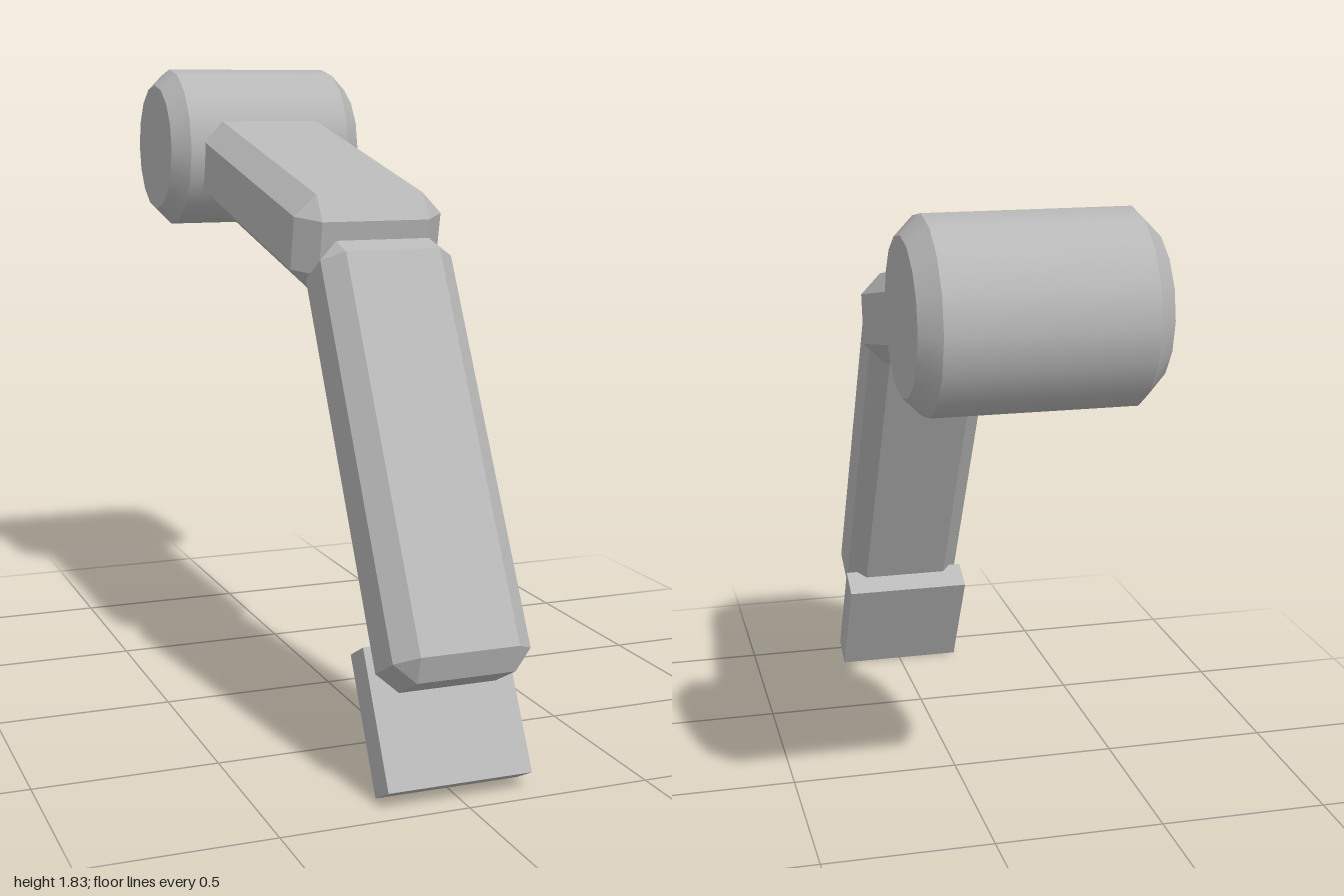
import * as THREE from 'three';
import { mergeGeometries } from 'three/addons/utils/BufferGeometryUtils.js';
import { ConvexGeometry } from 'three/addons/geometries/ConvexGeometry.js';

// Box with every edge cut by a flat bevel
function bevelBox(w, h, d, b) {
  const pts = [];
  for (const sx of [-1, 1]) for (const sy of [-1, 1]) for (const sz of [-1, 1]) {
    const x = w / 2, y = h / 2, z = d / 2;
    pts.push(
      new THREE.Vector3(sx * x, sy * (y - b), sz * (z - b)),
      new THREE.Vector3(sx * (x - b), sy * y, sz * (z - b)),
      new THREE.Vector3(sx * (x - b), sy * (y - b), sz * z),
    );
  }
  return new ConvexGeometry(pts);
}

// Drum lying along x: each profile band is its own lathe, so the rims stay sharp
function drumGeometry(radius, halfWidth, bevel) {
  const profile = [
    [0, -halfWidth], [radius - bevel, -halfWidth], [radius, bevel - halfWidth],
    [radius, halfWidth - bevel], [radius - bevel, halfWidth], [0, halfWidth],
  ].map(([r, y]) => new THREE.Vector2(r, y));
  const bands = [];
  for (let i = 0; i < profile.length - 1; i++) {
    bands.push(new THREE.LatheGeometry([profile[i], profile[i + 1]], 16));
  }
  return mergeGeometries(bands).rotateZ(-Math.PI / 2);
}

export function createModel() {
  const group = new THREE.Group();
  const grey = new THREE.MeshStandardMaterial({ color: 0xb8b8b8 });
  grey.name = 'light grey';

  const add = (name, geometry, y, z, tilt = 0) => {
    const mesh = new THREE.Mesh(geometry, grey);
    mesh.name = name;
    mesh.position.set(0, y, z);
    mesh.rotation.x = tilt;
    group.add(mesh);
  };

  // Shoulder drum, and the upper arm running forward from its centre
  add('shoulderDrum', drumGeometry(0.246, 0.31, 0.05), 1.588, -0.754);
  add('upperArm', bevelBox(0.43, 0.268, 1.13, 0.06), 1.466, -0.2, 0.211);

  // Lower arm and the plate at its end share one slope
  const slope = -0.493;
  add('lowerArm', bevelBox(0.376, 1.18, 0.236, 0.054), 0.824, 0.637, slope);
  add('endPlate', new THREE.BoxGeometry(0.396, 0.367, 0.097), 0.19, 0.82, slope);

  return group;
}
